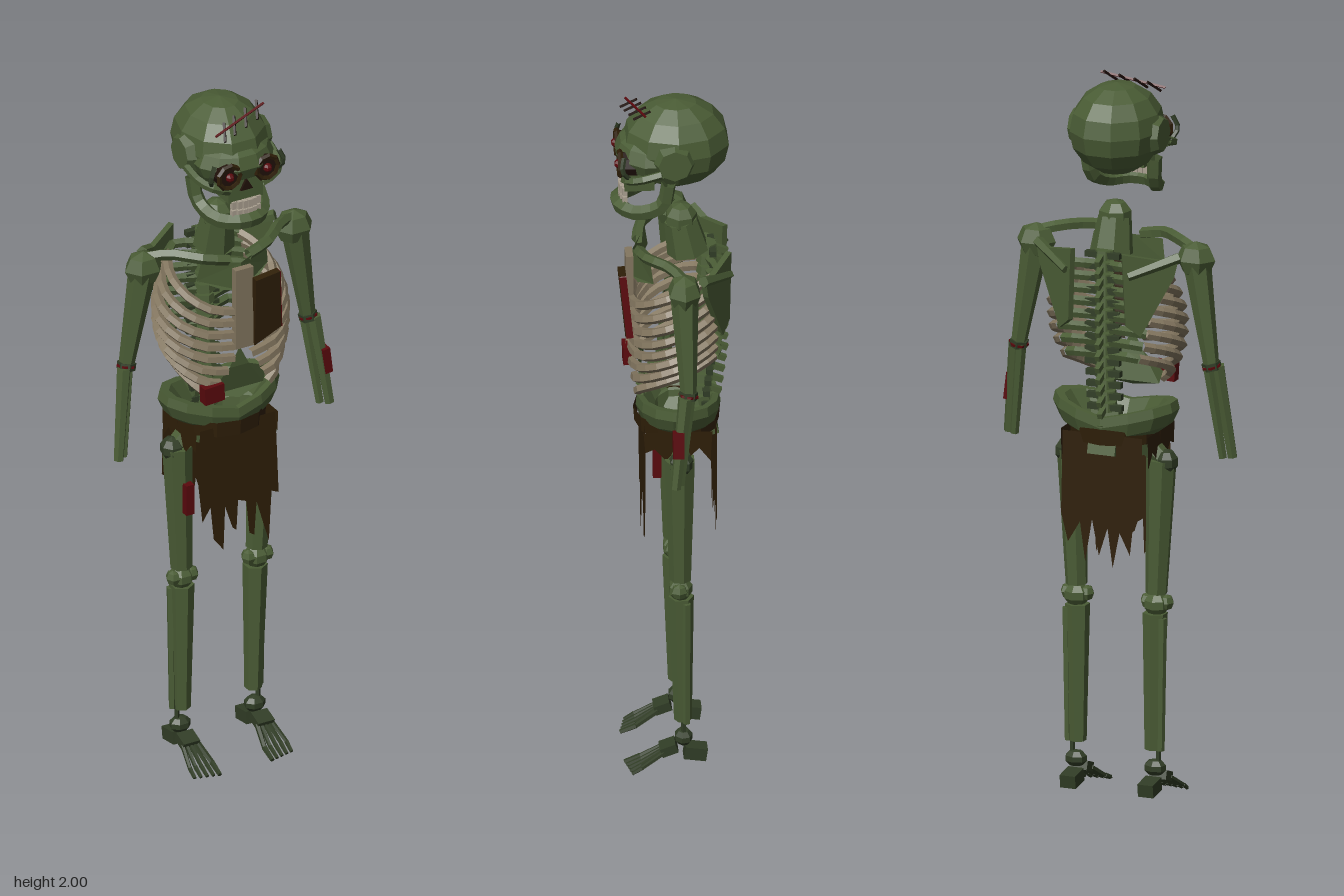
import * as THREE from 'three';

const mat = (name, color, side = THREE.FrontSide) => {
  const m = new THREE.MeshStandardMaterial({ color, side });
  m.name = name;
  return m;
};
const V = (x, y, z) => new THREE.Vector3(x, y, z);

export function createModel() {
  const root = new THREE.Group();
  root.name = 'skeleton';
  const D = THREE.DoubleSide;
  const green = mat('mossyBone', 0x4a5c35, D), dark = mat('darkBone', 0x313d26);
  const pale = mat('ribBone', 0x83765f), tooth = mat('tooth', 0xaaa090);
  const cloth = mat('cloth', 0x2f1f08, D), red = mat('wound', 0x5a090d), thread = mat('stitch', 0x20110a);

  // Faceted mesh
  const add = (name, geo, material, parent = root) => {
    const g = geo.index ? geo.toNonIndexed() : geo;
    g.computeVertexNormals();
    const m = new THREE.Mesh(g, material);
    m.name = name;
    parent.add(m);
    return m;
  };
  const box = (name, w, h, d, x, y, z, material, rot = [0, 0, 0], parent = root) => {
    const m = add(name, new THREE.BoxGeometry(w, h, d), material, parent);
    m.position.set(x, y, z);
    m.rotation.set(...rot);
    return m;
  };
  const ball = (name, x, y, z, rx, ry, rz, material, seg = [7, 5], parent = root) =>
    add(name, new THREE.SphereGeometry(1, ...seg).rotateY(Math.PI / 2 + Math.PI / seg[0]).scale(rx, ry, rz), material, parent)
      .position.set(x, y, z);
  // Tapered bone from a to b
  const bone = (name, a, b, ra, rb, material, sides = 6, parent = root) => {
    const d = b.clone().sub(a);
    const m = add(name, new THREE.CylinderGeometry(rb, ra, d.length(), sides), material, parent);
    m.position.copy(a).add(b).multiplyScalar(0.5);
    m.quaternion.setFromUnitVectors(V(0, 1, 0), d.normalize());
    return m;
  };
  const tube = (name, pts, r, segs, material, sides = 5) =>
    add(name, new THREE.TubeGeometry(new THREE.CatmullRomCurve3(pts), segs, r, sides), material);
  const polygon = pts => new THREE.Shape(pts.map(p => new THREE.Vector2(...p)));

  // Skull
  ball('cranium', 0, 1.87, -0.016, 0.127, 0.126, 0.147, green, [10, 8]);
  ball('face', 0, 1.848, 0.05, 0.118, 0.068, 0.1, green, [12, 6]);
  box('upperJaw', 0.105, 0.07, 0.08, 0, 1.78, 0.085, green);
  const nose = add('noseHole', new THREE.CylinderGeometry(0.022, 0.022, 0.02, 3).rotateX(Math.PI / 2), thread);
  nose.position.set(0, 1.79, 0.122);
  nose.rotation.z = Math.PI;
  tube('lowerJaw', [V(-0.098, 1.79, 0.01), V(-0.09, 1.72, 0.025), V(-0.072, 1.69, 0.09), V(-0.03, 1.69, 0.135),
    V(0.03, 1.69, 0.135), V(0.072, 1.69, 0.09), V(0.09, 1.72, 0.025), V(0.098, 1.79, 0.01)], 0.021, 18, green);
  for (let i = 0; i < 6; i++) {
    const x = (i - 2.5) * 0.015, z = 0.132 - x * x * 6;
    box('upperTooth', 0.013, 0.022, 0.014, x, 1.738, z, tooth);
    box('lowerTooth', 0.013, 0.018, 0.014, x, 1.714, z, tooth);
  }
  for (const s of [-1, 1]) {
    add('temple', new THREE.CylinderGeometry(0.045, 0.06, 0.03, 8).rotateZ(-s * Math.PI / 2), green)
      .position.set(s * 0.116, 1.86, -0.005);
    tube('cheekbone', [V(s * 0.128, 1.835, 0.03), V(s * 0.12, 1.815, 0.09), V(s * 0.09, 1.8, 0.125), V(s * 0.05, 1.785, 0.125)],
      0.012, 6, green);
    tube('cheekHoop', [V(s * 0.1, 1.81, 0.115), V(s * 0.112, 1.84, 0.135), V(s * 0.098, 1.875, 0.13)], 0.007, 5, dark);
    add('eyeSocket', new THREE.CylinderGeometry(0.034, 0.034, 0.05, 8).rotateX(Math.PI / 2), thread)
      .position.set(s * 0.058, 1.835, 0.114);
    add('eyeRim', new THREE.TorusGeometry(0.033, 0.008, 5, 9), cloth).position.set(s * 0.058, 1.835, 0.138);
    ball('eye', s * 0.058, 1.835, 0.14, 0.013, 0.013, 0.015, red);
  }
  // Forehead scar
  bone('scar', V(-0.085, 1.955, 0.113), V(0.085, 1.992, 0.072), 0.004, 0.004, red, 4);
  [-0.055, -0.02, 0.02, 0.06].forEach(x => {
    const y = 1.972 + x * 0.22, z = 0.094 - x * 0.24;
    bone('scarStitch', V(x - 0.01, y - 0.02, z + 0.021), V(x + 0.01, y + 0.013, z - 0.021), 0.0045, 0.0045, thread, 4);
  });

  // Neck and spine
  bone('neck', V(0, 1.53, -0.05), V(0, 1.625, -0.03), 0.058, 0.046, green, 7);
  ball('neckTop', 0, 1.63, -0.03, 0.047, 0.045, 0.045, green);
  for (let i = 0; i < 16; i++) {
    const y = 1.54 - i * 0.033, z = -0.1 + 0.025 * Math.max(0, i - 9) / 6;
    bone('vertebra', V(0, y - 0.012, z), V(0, y + 0.012, z), 0.03, 0.026, green, 7);
    box('spinousProcess', 0.014, 0.016, 0.045, 0, y - 0.008, z - 0.033, green, [-0.4, 0, 0]);
    box('transverseProcess', 0.1, 0.016, 0.018, 0, y, z - 0.012, dark);
  }

  // Rib cage: mossy near the spine, bare towards the front
  const widths = [0.14, 0.162, 0.175, 0.181, 0.18, 0.175, 0.162, 0.14];
  widths.forEach((w, i) => {
    const y = 1.51 - i * 0.0355, drop = 0.11;
    const fx = 0.025 + Math.max(0, i - 4) * 0.02, fz = 0.105 - Math.max(0, i - 5) * 0.006;
    for (const s of [-1, 1]) {
      const pts = new THREE.CatmullRomCurve3([V(s * 0.02, y, -0.105), V(s * w * 0.62, y + 0.003, -0.122),
        V(s * w, y - 0.03, -0.04), V(s * w * 0.95, y - 0.065, 0.04),
        V(s * (w * 0.55 + fx * 0.3), y - drop * 0.88, 0.092), V(s * fx, y - drop, fz)]).getSpacedPoints(12);
      tube('ribBack', pts.slice(0, 4), 0.0135, 3, green);
      tube('rib', pts.slice(3), 0.0135, 9, pale);
    }
  });
  box('sternum', 0.055, 0.24, 0.02, 0, 1.41, 0.11, pale);
  // Curved skin patches
  const patch = (name, pts, z, bend) => {
    const g = new THREE.ShapeGeometry(polygon(pts)), p = g.attributes.position;
    for (let i = 0; i < p.count; i++) p.setZ(i, z - bend * p.getX(i) ** 2);
    add(name, g, green);
  };
  patch('chestSkin', [[-0.1, 1.55], [-0.11, 1.49], [-0.05, 1.465], [0, 1.455], [0.05, 1.465], [0.11, 1.49], [0.1, 1.55], [0, 1.54]], 0.1, 4);
  patch('bellySkin', [[0, 1.28], [-0.03, 1.22], [-0.1, 1.18], [-0.085, 1.14], [0, 1.125], [0.085, 1.14], [0.1, 1.18], [0.03, 1.22]], 0.092, 3);
  // Chest plate with a torn red edge, and side wound
  const slab = (name, pts, depth, material) => {
    const m = add(name, new THREE.ExtrudeGeometry(polygon(pts), { depth, bevelEnabled: false }).translate(0, -1.4, 0), material);
    m.position.set(0, 1.4, 0.113);
    m.rotation.x = 0.1;
  };
  slab('chestPatch', [[0.022, 1.5], [0.095, 1.51], [0.11, 1.33], [0.03, 1.29]], 0.02, cloth);
  slab('chestPatchEdge', [[0.095, 1.51], [0.098, 1.508], [0.113, 1.328], [0.11, 1.33]], 0.019, red);
  box('sideWound', 0.06, 0.05, 0.03, -0.092, 1.17, 0.105, red, [0, 0, 0.06]);

  // Shoulders and arms
  for (const s of [-1, 1]) {
    const el = V(s * 0.28, 1.24, -0.03);
    tube('collarbone', [V(s * 0.03, 1.55, 0.085), V(s * 0.1, 1.565, 0.07), V(s * 0.17, 1.57, 0.01), V(s * 0.22, 1.56, -0.02)], 0.016, 6, green);
    ball('shoulder', s * 0.232, 1.53, -0.022, 0.056, 0.05, 0.048, green, [6, 4]);
    bone('upperArm', el, V(s * 0.235, 1.52, -0.022), 0.021, 0.038, green);
    bone('elbow', V(s * 0.278, 1.25, -0.03), V(s * 0.282, 1.23, -0.028), 0.026, 0.026, dark);
    bone('elbowCut', V(s * 0.2795, 1.243, -0.03), V(s * 0.2807, 1.237, -0.029), 0.0275, 0.0275, red);
    bone('radius', V(s * 0.293, 1.24, -0.02), V(s * 0.325, 0.98, 0.008), 0.02, 0.014, green);
    bone('ulna', V(s * 0.272, 1.24, -0.035), V(s * 0.303, 0.98, -0.006), 0.016, 0.012, green);
    // Shoulder blade
    const blade = add('shoulderBlade', new THREE.ExtrudeGeometry(polygon(
      [[0, 0.1], [0.15, 0.07], [0.14, 0.03], [0.05, -0.13], [0.01, -0.1]]), { depth: 0.016, bevelEnabled: false }), green);
    if (s < 0) {
      blade.geometry.rotateY(Math.PI);
      blade.geometry.translate(0, 0, 0.016);
    }
    blade.position.set(s * 0.075, 1.46, -0.16);
    blade.rotation.y = -s * 0.53;
    bone('bladeSpine', V(s * 0.09, 1.5, -0.155), V(s * 0.205, 1.545, -0.075), 0.012, 0.016, green, 5);
  }
  box('forearmWound', 0.022, 0.075, 0.03, 0.317, 1.11, 0.0, red, [0, 0, 0.12]);

  // Pelvis bowl, low at the front
  const bowl = new THREE.LatheGeometry([[0.112, 0.98], [0.122, 1.03], [0.16, 1.05], [0.178, 1.085], [0.172, 1.112], [0.145, 1.112], [0.1, 1.06]]
    .map(p => new THREE.Vector2(...p)), 14);
  const bp = bowl.attributes.position;
  for (let i = 0; i < bp.count; i++) {
    const side = Math.abs(bp.getX(i)) / 0.178;
    bp.setXYZ(i, bp.getX(i), bp.getY(i) + 0.04 * (side - 0.6), bp.getZ(i) * 0.64 - 0.022);
  }
  add('pelvis', bowl, green);
  box('sacrum', 0.08, 0.12, 0.03, 0, 1.04, -0.1, green, [0.25, 0, 0]);

  // Loincloth
  add('belt', new THREE.CylinderGeometry(0.13, 0.126, 0.045, 12, 1, true).scale(1, 1, 0.9), cloth).position.set(0, 1.035, -0.018);
  const hang = (name, pts) => add(name, new THREE.ShapeGeometry(polygon(pts)), cloth);
  hang('frontCloth', [[-0.112, 1.04], [-0.12, 0.9], [-0.105, 0.76], [-0.08, 0.8], [-0.07, 0.7], [-0.04, 0.66], [-0.035, 0.79],
    [-0.012, 0.72], [0, 0.71], [0.005, 0.8], [0.03, 0.79], [0.04, 0.69], [0.055, 0.68], [0.062, 0.78], [0.085, 0.7],
    [0.1, 0.65], [0.108, 0.8], [0.13, 0.79], [0.12, 1.04]]).position.z = 0.075;
  hang('backCloth', [[-0.115, 1.04], [-0.12, 0.82], [-0.09, 0.8], [-0.08, 0.71], [-0.05, 0.77], [-0.03, 0.67], [-0.015, 0.78],
    [0.01, 0.7], [0.03, 0.8], [0.05, 0.68], [0.065, 0.79], [0.1, 0.73], [0.12, 0.81], [0.115, 1.04]]).position.z = -0.118;
  for (const s of [-1, 1]) {
    const flap = hang('hipCloth', [[-0.08, 1.04], [-0.075, 0.98], [-0.05, 0.99], [-0.02, 0.955], [0.01, 0.985], [0.04, 0.96],
      [0.07, 0.99], [0.1, 0.95], [0.105, 1.04]]);
    flap.position.x = s * 0.126;
    flap.rotation.y = Math.PI / 2;
  }

  // Legs and feet
  for (const s of [-1, 1]) {
    const leg = new THREE.Group();
    leg.name = s > 0 ? 'leftLeg' : 'rightLeg';
    root.add(leg);
    const b = (n, a, c, ra, rb, m = green, sides = 6) =>
      bone(n, V(s * a[0], a[1], a[2]), V(s * c[0], c[1], c[2]), ra, rb, m, sides, leg);
    ball('hip', s * 0.145, 0.955, -0.02, 0.033, 0.035, 0.035, dark, [7, 5], leg);
    b('hipNeck', [0.145, 0.95, -0.02], [0.09, 1.0, -0.02], 0.025, 0.03);
    b('thigh', [0.116, 0.585, -0.02], [0.13, 0.96, -0.018], 0.03, 0.042, green, 7);
    ball('knee', s * 0.116, 0.555, -0.02, 0.036, 0.034, 0.034, green, [7, 5], leg);
    for (const k of [-0.028, 0.028])
      ball('kneeKnob', s * (0.116 + k), 0.56, -0.015, 0.02, 0.022, 0.024, green, [6, 4], leg);
    b('shin', [0.11, 0.15, -0.027], [0.113, 0.53, -0.022], 0.024, 0.034);
    b('calfBone', [0.135, 0.15, -0.035], [0.14, 0.52, -0.035], 0.01, 0.012, green, 5);
    b('anklePin', [0.125, 0.09, -0.028], [0.125, 0.16, -0.028], 0.007, 0.007, dark, 5);
    ball('ankle', s * 0.115, 0.1, -0.028, 0.032, 0.024, 0.026, dark, [7, 5], leg);
    box('heel', 0.045, 0.036, 0.06, s * 0.113, 0.053, -0.06, dark, [-0.15, 0, 0], leg);
    box('instep', 0.05, 0.026, 0.045, s * 0.115, 0.068, 0.012, dark, [0.35, 0, 0], leg);
    for (let i = 0; i < 5; i++) {
      const x = 0.115 + (i - 2) * 0.011, tx = 0.115 + (i - 2) * 0.017, r = i === 0 ? 0.008 : 0.0065;
      const tip = 0.128 - i * 0.004;
      b('footBone', [x, 0.062, 0.025], [tx, 0.025, 0.085], r, r * 0.9, dark, 5);
      b('toe', [tx, 0.025, 0.085], [tx, 0.008, tip], r, r * 0.8, dark, 5);
    }
  }
  box('thighWound', 0.025, 0.09, 0.022, -0.12, 0.815, 0.026, red);
  return root;
}
